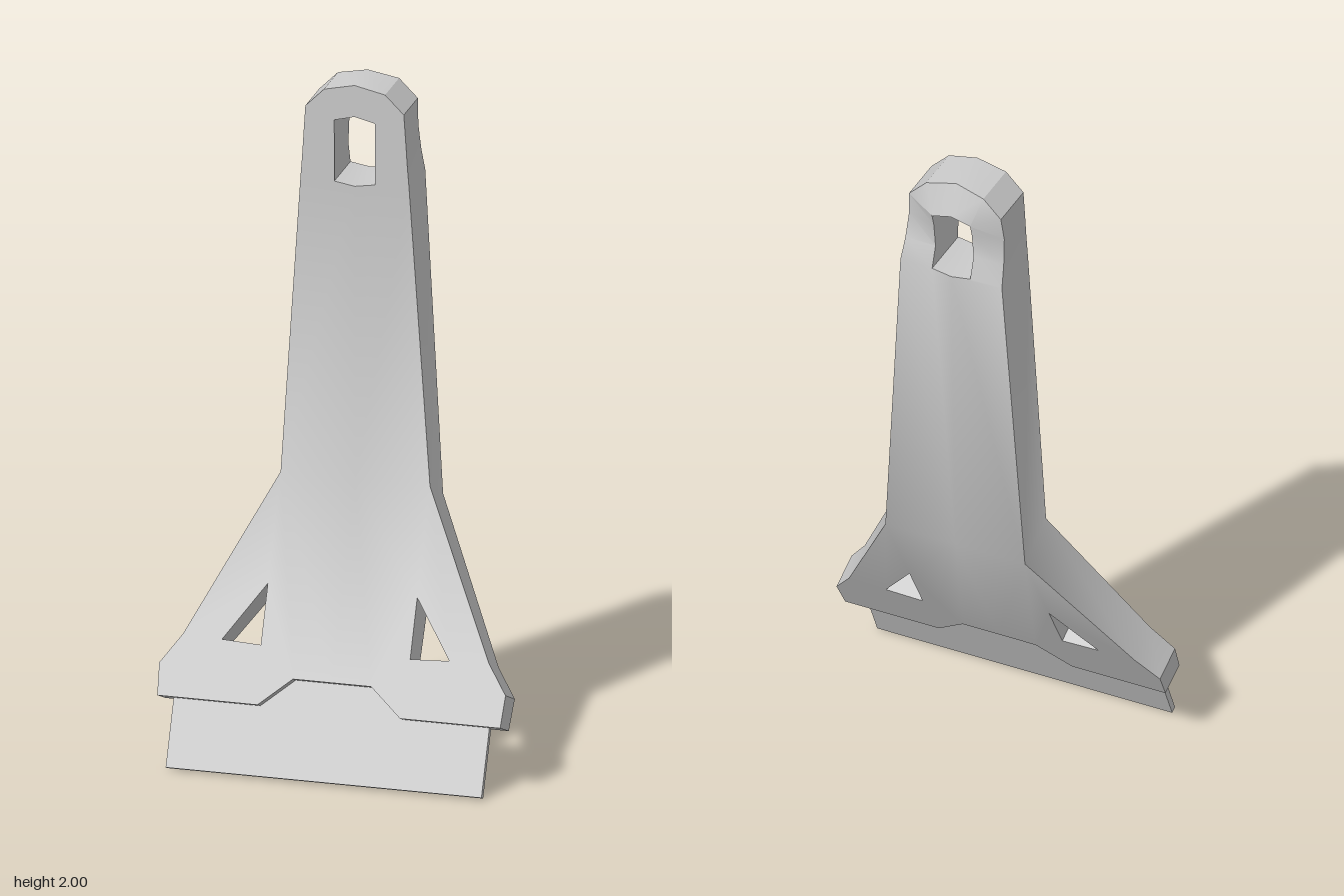
import * as THREE from 'three';
import { toCreasedNormals } from 'three/addons/utils/BufferGeometryUtils.js';

const BEND = 0.81, SLOPE = 0.46;

// Front surface: nearly upright grip, then a sloping flared foot below the bend
const frontPoint = ([x, y]) => [x, y, y > BEND
  ? -0.083 + 0.008 * (y - BEND) / 1.19
  : -0.083 + (BEND - y) * SLOPE];

// Back surface: given depth on the grip, tapering thickness on the foot
function backPoint(p) {
  const [x, y, depth] = p;
  if (depth !== undefined) return [x, y, depth];
  const t = (y - 0.205) / (BEND - 0.205);
  return [x, y - 0.04 - 0.03 * t, frontPoint(p)[2] - 0.09 - 0.047 * t];
}

// Corners of the right half as [x, y, back depth]
const P = {
  top0: [0, 2, -0.213], top1: [0.09, 1.98, -0.222], top2: [0.145, 1.925, -0.222],
  side1: [0.15, 1.85, -0.21], side2: [0.155, 1.77, -0.224], side3: [0.16, 1.705, -0.246],
  slot0: [0, 1.905, -0.247], slot1: [0.06, 1.89, -0.247], slot2: [0.06, 1.85, -0.235],
  slot3: [0.06, 1.77, -0.224], slot4: [0.06, 1.705, -0.246], slot5: [0, 1.695, -0.246],
  bend0: [0, BEND], bend1: [0.22, BEND],
  flare1: [0.45, 0.37], flare2: [0.51, 0.29], flare3: [0.505, 0.205],
  notch1: [0.21, 0.205], notch2: [0.115, 0.28], notch3: [0, 0.28],
  hole1: [0.22, 0.52], hole2: [0.335, 0.365], hole3: [0.22, 0.36],
};

// Patches around the hanging slot and the triangular windows, counter-clockwise
const PATCHES = [
  'top0 slot0 slot1 top1',
  'top1 slot1 top2',
  'top2 slot1 slot2 side1',
  'side1 slot2 slot3 side2',
  'side2 slot3 slot4 side3',
  'bend0 bend1 side3 slot4 slot5',
  'bend0 notch3 notch2 hole3 hole1 bend1',
  'bend1 hole1 hole2 flare1',
  'flare1 hole2 hole3 notch2 notch1 flare3 flare2',
].map((names) => names.split(' ').map((n) => P[n]));

function bodyGeometry() {
  const mirrored = PATCHES.map((poly) =>
    poly.map(([x, y, d]) => [x === 0 ? 0 : -x, y, d]).reverse());
  const polys = [...PATCHES, ...mirrored];
  const pos = [];
  const tri = (a, b, c) => pos.push(...a, ...b, ...c);
  const key = (a, b) => `${a[0]},${a[1]}|${b[0]},${b[1]}`;
  const eachEdge = (fn) => polys.forEach((poly) =>
    poly.forEach((a, i) => fn(a, poly[(i + 1) % poly.length])));

  // Front and back faces
  for (const poly of polys) {
    const outline = poly.map(([x, y]) => new THREE.Vector2(x, y));
    for (const [a, b, c] of THREE.ShapeUtils.triangulateShape(outline, [])) {
      tri(frontPoint(poly[a]), frontPoint(poly[b]), frontPoint(poly[c]));
      tri(backPoint(poly[a]), backPoint(poly[c]), backPoint(poly[b]));
    }
  }

  // Walls on every edge that no neighbouring patch shares
  const edges = new Set();
  eachEdge((a, b) => edges.add(key(a, b)));
  eachEdge((a, b) => {
    if (edges.has(key(b, a))) return;
    const fa = frontPoint(a), fb = frontPoint(b), ba = backPoint(a), bb = backPoint(b);
    tri(fa, ba, bb);
    tri(fa, bb, fb);
  });

  const geometry = new THREE.BufferGeometry();
  geometry.setAttribute('position', new THREE.Float32BufferAttribute(pos, 3));
  return toCreasedNormals(geometry, 0.5);
}

export function createModel() {
  const group = new THREE.Group();
  group.name = 'scraper';
  const material = new THREE.MeshStandardMaterial({ color: 0xcccccc });

  // Handle with slot, windows and notched lower edge
  const handle = new THREE.Mesh(bodyGeometry(), material);
  handle.name = 'handle';
  group.add(handle);

  // Thin blade seated in the middle of the foot
  const blade = new THREE.Mesh(new THREE.BoxGeometry(0.93, 0.32, 0.02), material);
  blade.name = 'blade';
  blade.position.set(0, 0.151, 0.173);
  blade.rotation.x = -Math.atan(SLOPE);
  group.add(blade);

  return group;
}
